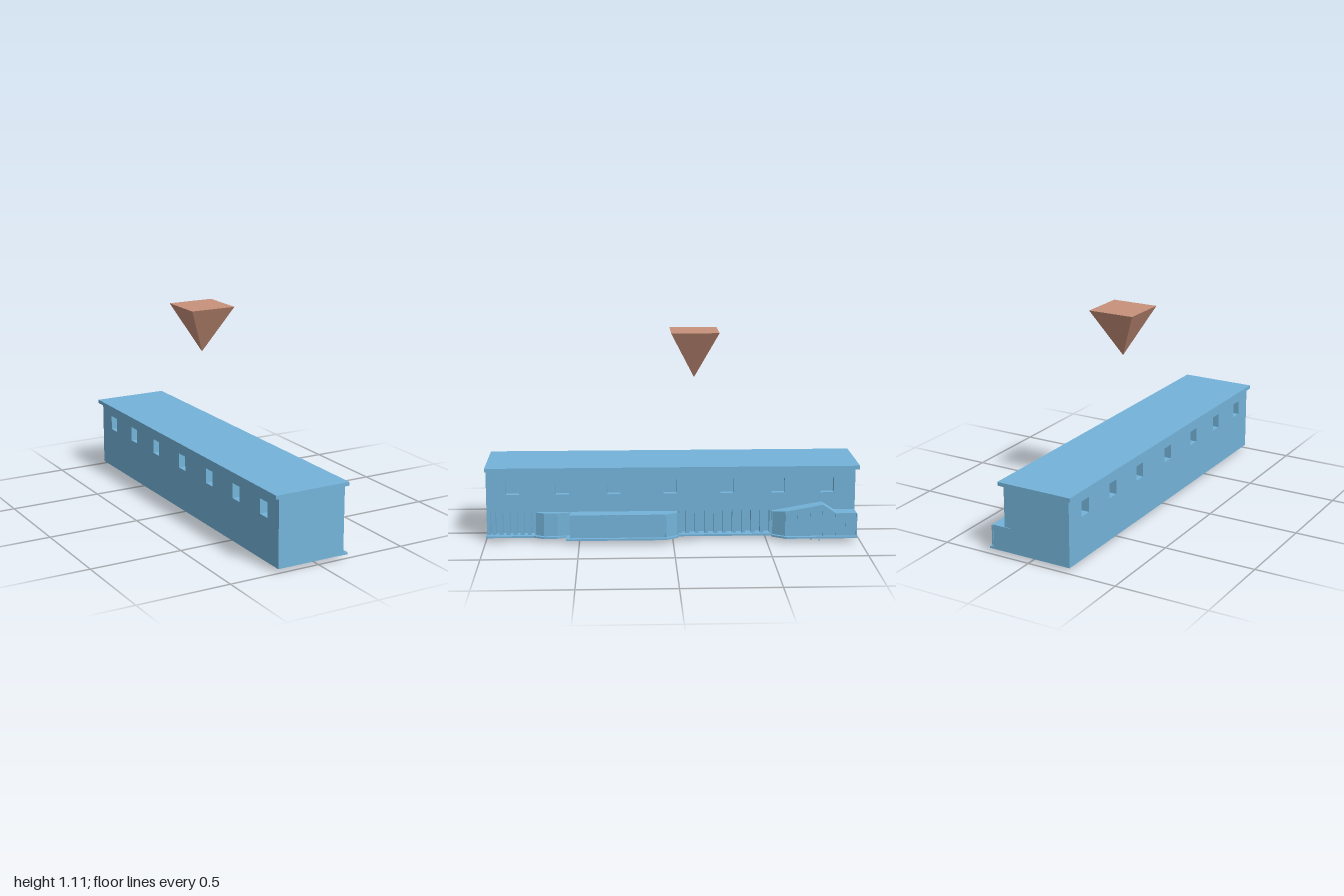
import * as THREE from 'three';

const blue = new THREE.MeshStandardMaterial({ color: 0x74b4da, flatShading: true });
const brown = new THREE.MeshStandardMaterial({ color: 0xc8917a, flatShading: true });

const FLOOR = 0.03, SILL = 0.155; // ground storey bottom and top
const windowsZ = [0.855, 0.59, 0.315, 0.015, -0.29, -0.565, -0.83];

export function createModel() {
  const model = new THREE.Group();

  function add(name, geometry, material = blue) {
    const mesh = new THREE.Mesh(geometry, material);
    mesh.name = name;
    model.add(mesh);
    return mesh;
  }

  // box given by its limits on each axis
  function box(name, x0, x1, y0, y1, z0, z1) {
    const mesh = add(name, new THREE.BoxGeometry(x1 - x0, y1 - y0, z1 - z0));
    mesh.position.set((x0 + x1) / 2, (y0 + y1) / 2, (z0 + z1) / 2);
    return mesh;
  }

  // vertical prism over a plan of [x, z] points; top(z) may slope the upper face
  function prism(name, plan, y0, y1, top) {
    const shape = new THREE.Shape(plan.map(([x, z]) => new THREE.Vector2(x, -z)));
    const g = new THREE.ExtrudeGeometry(shape, { depth: y1 - y0, bevelEnabled: false });
    g.rotateX(-Math.PI / 2).translate(0, y0, 0);
    if (top) {
      const p = g.attributes.position;
      for (let i = 0; i < p.count; i++) {
        if (p.getY(i) > y0 + 0.001) p.setY(i, top(p.getZ(i)));
      }
      g.computeVertexNormals();
    }
    return add(name, g);
  }

  // long wall with a row of window openings
  function windowWall(name, x0, x1, y0, y1) {
    const rect = (T, a, b, c, d) => {
      const s = new T();
      s.moveTo(a, c).lineTo(b, c).lineTo(b, d).lineTo(a, d).closePath();
      return s;
    };
    const wall = rect(THREE.Shape, -0.995, 0.98, y0, y1);
    for (const z of windowsZ) {
      wall.holes.push(rect(THREE.Path, -z - 0.035, -z + 0.035, 0.25, 0.33));
    }
    const g = new THREE.ExtrudeGeometry(wall, { depth: x1 - x0, bevelEnabled: false });
    g.rotateY(Math.PI / 2).translate(x0, 0, 0);
    add(name, g);
  }

  // hall: solid core, two window walls, roof slab
  box('core', -0.15, 0.115, 0.02, 0.38, -0.98, 0.995);
  windowWall('leftWindowWall', -0.23, -0.15, 0.02, 0.38);
  windowWall('rightWindowWall', 0.115, 0.15, SILL, 0.38);
  box('roof', -0.25, 0.172, 0.38, 0.4, -1, 1);

  // plinth with wider terraces in front of the bays
  box('plinth', 0.115, 0.175, 0.02, FLOOR, -0.98, 0.998);
  const terraces = [
    [[0.15, -0.98], [0.245, -0.98], [0.245, -0.6], [0.2, -0.53], [0.15, -0.53]],
    [[0.15, -0.03], [0.2, -0.03], [0.245, 0.04], [0.245, 0.57], [0.15, 0.57]],
    [[0.15, 0.57], [0.182, 0.57], [0.2, 0.62], [0.2, 0.69], [0.172, 0.75], [0.15, 0.75]],
  ];
  for (const plan of terraces) prism('terrace', plan.reverse(), 0.02, FLOOR);

  // piers of the shopfront between the bays
  for (const [z0, z1, n] of [[0.73, 0.995, 7], [-0.53, -0.03, 10]]) {
    const step = (z1 - z0) / n;
    for (let i = 0; i <= n; i++) {
      const z = Math.min(z0 + i * step, z1 - 0.01);
      box('pier', 0.113, 0.15, FLOOR, SILL, z - 0.01, z + 0.01);
    }
  }

  // glazing bars along the outer edge of a bay
  function bars(line, height) {
    for (let i = 0; i + 1 < line.length; i++) {
      const [ax, az] = line[i], [bx, bz] = line[i + 1];
      const length = Math.hypot(bx - ax, bz - az);
      const n = Math.max(1, Math.round(length / 0.06));
      for (let k = 0; k <= n; k++) {
        const x = ax + (bx - ax) * k / n, z = az + (bz - az) * k / n;
        box('glazingBar', x - 0.004, x + 0.003, FLOOR, height(z) - 0.003, z - 0.003, z + 0.003);
      }
    }
  }

  // middle bay, with a framed end panel
  const middle = [[0.185, -0.025], [0.225, 0.04], [0.225, 0.545]];
  prism('middleBay', [[0.112, 0.545], ...[...middle].reverse(), [0.112, -0.025]], FLOOR, SILL);
  bars(middle, () => SILL);
  for (const x of [0.186, 0.219]) box('endFrameSide', x, x + 0.006, 0.036, 0.153, 0.54, 0.55);
  for (const y of [0.036, 0.147]) box('endFrameRail', 0.186, 0.225, y, y + 0.006, 0.54, 0.55);

  // small bay
  const small = [[0.155, 0.735], [0.182, 0.685], [0.182, 0.62], [0.165, 0.545]];
  prism('smallBay', [[0.112, 0.735], ...small, [0.112, 0.545]], FLOOR, SILL);
  bars(small, () => SILL);

  // back bay with a peaked roof, built in strips along z: [z, outer x, top y]
  const ridge = [[-0.53, 0.18, 0.153], [-0.6, 0.225, 0.165], [-0.8, 0.225, 0.2],
    [-0.87, 0.225, 0.153], [-0.98, 0.225, 0.153]];
  const roofY = (z) => {
    for (let i = 0; i + 1 < ridge.length; i++) {
      const [a, , ya] = ridge[i], [b, , yb] = ridge[i + 1];
      if (z >= b - 0.0001) return ya + (yb - ya) * (z - a) / (b - a);
    }
    return 0.153;
  };
  for (let i = 0; i + 1 < ridge.length; i++) {
    const [a, xa] = ridge[i], [b, xb] = ridge[i + 1];
    prism('backBay', [[0.112, a], [xa, a], [xb, b], [0.112, b]], FLOOR, 0.15, roofY);
  }
  bars(ridge.map(([z, x]) => [x, z]), roofY);

  // small stubs under the back bay
  box('stub', 0.224, 0.228, 0, 0.025, -0.783, -0.777);
  box('stub', 0.224, 0.228, 0.01, 0.025, -0.743, -0.733);

  // floating marker: square pyramid pointing down
  const marker = new THREE.ConeGeometry(0.128 * Math.SQRT2, 0.255, 4);
  marker.rotateY(Math.PI / 4).rotateX(Math.PI);
  add('marker', marker, brown).position.set(-0.031, 0.978, -0.121);

  return model;
}
